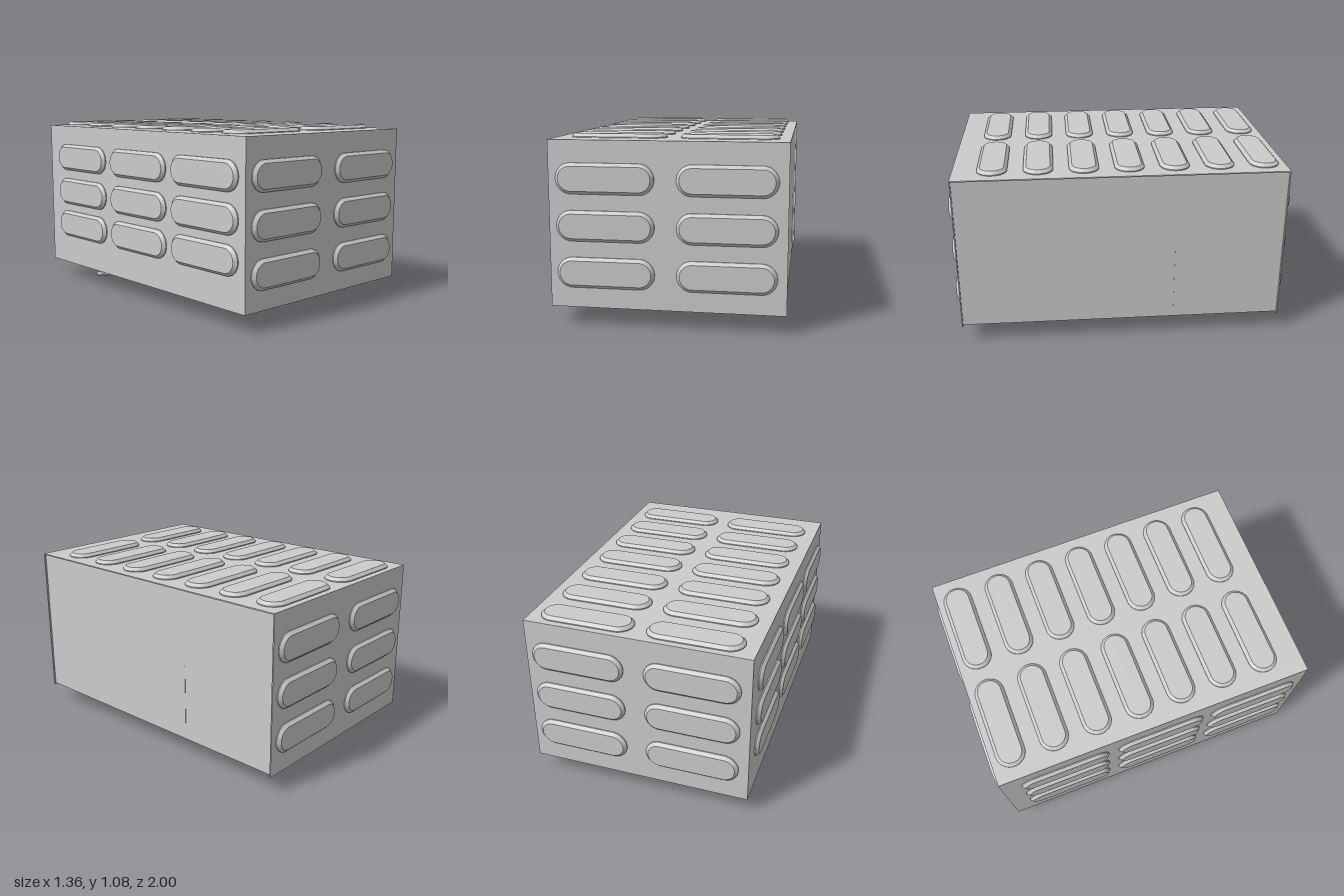
import * as THREE from 'three';
import { toCreasedNormals } from 'three/addons/utils/BufferGeometryUtils.js';

const X0 = -0.658, X1 = 0.676, Y0 = 0.107, Y1 = 1.058, Z = 0.976; // cabinet limits
const WALL = 0.007, RECESS = 0.01, RAISE = 0.024;

// Raised pill-shaped pad with a sloping edge; its base lies at z = 0
function padGeometry(length, width) {
  const bevel = 0.018, r = width / 2 - bevel, h = length / 2 - width / 2;
  const shape = new THREE.Shape();
  shape.moveTo(-h, -r);
  shape.lineTo(h, -r);
  shape.absarc(h, 0, r, -Math.PI / 2, Math.PI / 2, false);
  shape.lineTo(-h, r);
  shape.absarc(-h, 0, r, Math.PI / 2, Math.PI * 1.5, false);
  const geo = new THREE.ExtrudeGeometry(shape, {
    depth: 0.006, bevelThickness: 0.018, bevelSize: bevel, bevelSegments: 1, curveSegments: 14,
  });
  geo.translate(0, 0, RAISE - 0.024);
  return toCreasedNormals(geo, 0.5);
}

export function createModel() {
  const model = new THREE.Group();
  const grey = new THREE.MeshStandardMaterial({ color: 0xcccccc });

  function box(name, x0, x1, y0, y1, z0, z1) {
    const mesh = new THREE.Mesh(new THREE.BoxGeometry(x1 - x0, y1 - y0, z1 - z0), grey);
    mesh.name = name;
    mesh.position.set((x0 + x1) / 2, (y0 + y1) / 2, (z0 + z1) / 2);
    model.add(mesh);
  }

  // Core, set back from the outer shell on the bottom and the plain side
  box('core', X0 + WALL, X1 - RECESS, Y0 + RECESS, Y1 - WALL, -Z + WALL, Z - WALL);
  // Thin outer shell
  box('topPanel', X0, X1, Y1 - WALL, Y1, -Z, Z);
  box('frontPanel', X0, X1, Y0, Y1 - WALL, Z - WALL, Z);
  box('backPanel', X0, X1, Y0, Y1 - WALL, -Z, -Z + WALL);
  box('ribbedSidePanel', X0, X0 + WALL, Y0, Y1 - WALL, -Z + WALL, Z - WALL);
  // Narrow seam on the plain side
  box('sideSeam', X1 - RECESS, X1 - RECESS + 0.002, Y0 + RECESS, 0.59, -0.322, -0.317);

  // Raised pads: a grid of pads on each ribbed face
  const pad = padGeometry(0.558, 0.175);
  function padGrid(name, columns, rows, place) {
    const group = new THREE.Group();
    group.name = name;
    for (const u of columns) for (const v of rows) {
      const mesh = new THREE.Mesh(pad, grey);
      mesh.name = 'pad';
      place(mesh, u, v);
      group.add(mesh);
    }
    model.add(group);
  }
  const rows = [0.31, 0.577, 0.844];
  padGrid('frontPads', [-0.336, 0.345], rows, (m, u, v) => m.position.set(u, v, Z));
  padGrid('backPads', [-0.321, 0.357], rows, (m, u, v) => {
    m.position.set(u, v, -Z);
    m.rotation.y = Math.PI;
  });
  padGrid('sidePads', [-0.582, 0.036, 0.646], [0.386, 0.611, 0.845], (m, u, v) => {
    m.position.set(X0, v, u);
    m.rotation.y = -Math.PI / 2;
  });
  const topRows = Array.from({ length: 7 }, (_, i) => -0.052 + (i - 3) * 0.266);
  padGrid('topPads', [-0.303, 0.335], topRows, (m, u, v) => {
    m.position.set(u, Y1, v);
    m.rotation.x = -Math.PI / 2;
  });

  // Two levelling feet: base disc with a small socket, collar and stem
  const profile = [
    [0, 0.012], [0.018, 0.012], [0.018, 0], [0.052, 0], [0.052, 0.009], [0.019, 0.009],
    [0.019, 0.045], [0.043, 0.045], [0.043, 0.066], [0.019, 0.066], [0.019, Y0 + 0.02],
  ].map(([r, y]) => new THREE.Vector2(r, y));
  const footGeo = toCreasedNormals(new THREE.LatheGeometry(profile, 24), 0.6);
  for (const x of [-0.435, -0.126]) {
    const foot = new THREE.Mesh(footGeo, grey);
    foot.name = 'foot';
    foot.position.set(x, 0, -0.69);
    model.add(foot);
  }
  return model;
}
